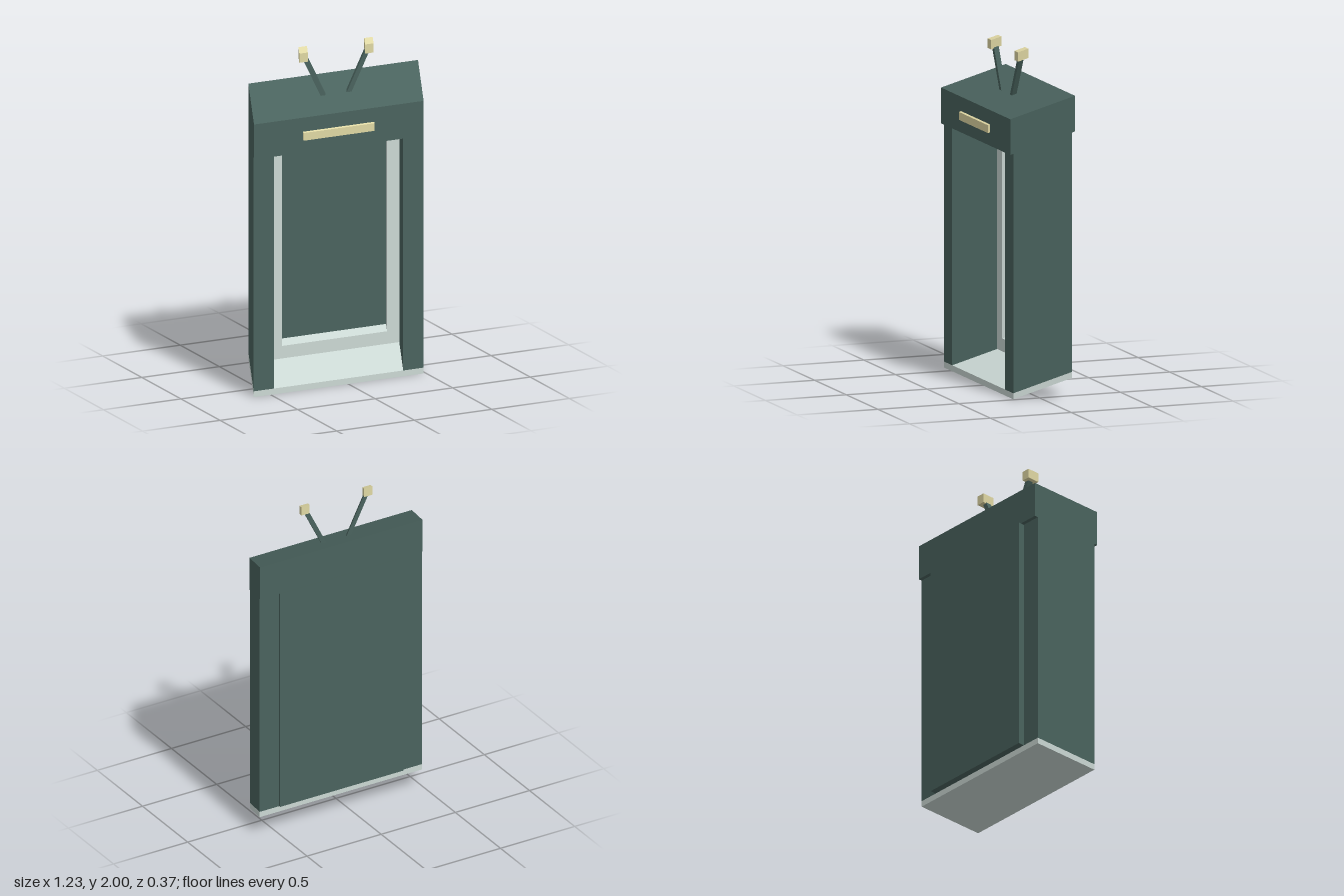
import * as THREE from 'three';

// Whole booth leans: x and y slide with depth
const SHEAR = new THREE.Matrix4().set(
  1, 0, -0.4, 0,
  0, 1, -0.4, 0,
  0, 0, 1, 0,
  0, 0, 0, 1);

export function createModel() {
  const model = new THREE.Group();
  const material = (color) => new THREE.MeshStandardMaterial({ color, flatShading: true });
  const teal = material(0x4a635e);
  const pale = material(0xcbd8d4);
  const cream = material(0xe0d8a4);

  const addPart = (name, geometry, mat) => {
    const mesh = new THREE.Mesh(geometry.applyMatrix4(SHEAR), mat);
    mesh.name = name;
    model.add(mesh);
  };
  // Box given by its limits on each axis
  const slab = (name, [x0, x1], [y0, y1], [z0, z1], mat) => {
    const g = new THREE.BoxGeometry(x1 - x0, y1 - y0, z1 - z0);
    g.translate((x0 + x1) / 2, (y0 + y1) / 2, (z0 + z1) / 2);
    addPart(name, g, mat);
  };

  // Floor, roof and protruding back panel
  slab('floor', [-0.547, 0.547], [0.063, 0.098], [-0.157, 0.157], pale);
  slab('roof', [-0.547, 0.547], [1.499, 1.708], [-0.173, 0.173], teal);
  slab('backPanel', [-0.415, 0.415], [0.098, 1.499], [-0.185, -0.145], teal);
  slab('signStrip', [-0.23, 0.23], [1.578, 1.624], [0.17, 0.185], cream);

  // Pale frame in front of the back panel
  const frame = new THREE.Shape();
  frame.moveTo(-0.417, 0.098).lineTo(0.417, 0.098).lineTo(0.417, 1.499).lineTo(-0.417, 1.499).closePath();
  const opening = new THREE.Path();
  opening.moveTo(-0.338, 0.173).lineTo(-0.338, 1.42).lineTo(0.338, 1.42).lineTo(0.338, 0.173).closePath();
  frame.holes.push(opening);
  const frameGeometry = new THREE.ExtrudeGeometry(frame, { depth: 0.062, bevelEnabled: false });
  addPart('backFrame', frameGeometry.translate(0, 0, -0.145), pale);

  for (const [side, s] of [['left', 1], ['right', -1]]) {
    // Side walls standing on the floor
    const xs = [s * 0.417, s * 0.547].sort((a, b) => a - b);
    slab(side + 'Wall', xs, [0.098, 1.499], [-0.157, 0.157], teal);

    // Splayed antenna with a cube tip
    const base = new THREE.Vector2(s * 0.08, 1.7);
    const tip = new THREE.Vector2(s * 0.205, 1.95);
    const d = tip.clone().sub(base);
    const rod = new THREE.BoxGeometry(0.028, d.length(), 0.025);
    rod.rotateZ(-Math.atan2(d.x, d.y));
    rod.translate((base.x + tip.x) / 2, (base.y + tip.y) / 2, 0);
    addPart(side + 'AntennaRod', rod, teal);
    const cube = new THREE.BoxGeometry(0.055, 0.055, 0.055);
    addPart(side + 'AntennaTip', cube.translate(s * 0.212, 1.962, 0), cream);
  }
  return model;
}
